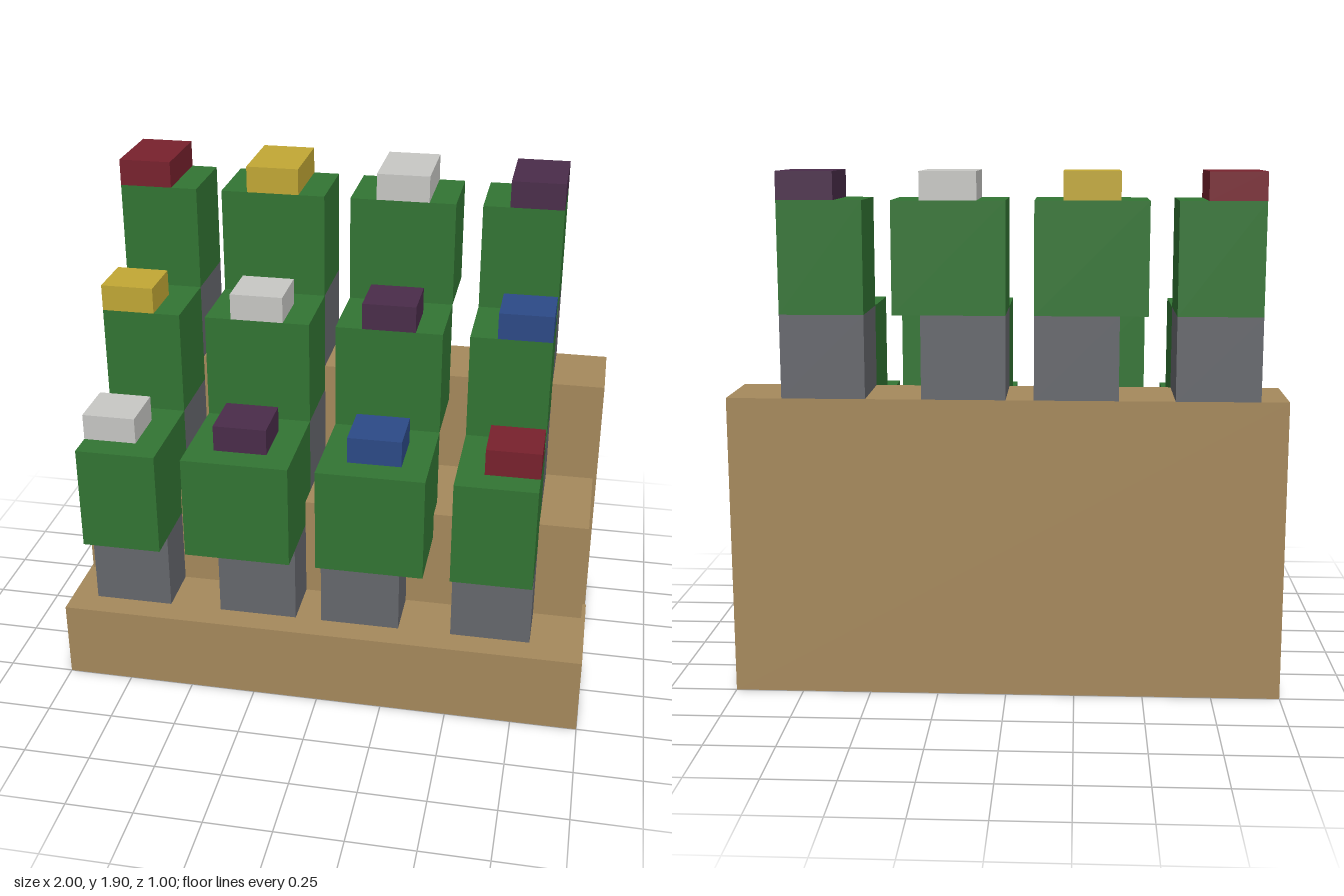
import * as THREE from 'three';

const mat = (name, color) => Object.assign(new THREE.MeshStandardMaterial({ color }), { name });
const tan = mat('tan', 0xa6895c);
const grey = mat('grey', 0x66686d);
const green = mat('green', 0x327533);
const red = mat('dark red', 0x78212d);
const yellow = mat('yellow', 0xc2a835);
const white = mat('off white', 0xc8c8c5);
const purple = mat('purple', 0x4a2c4a);
const blue = mat('blue', 0x2c4a87);

// Box given by its [min, max] extents on each axis
function block(name, material, [x0, x1], [y0, y1], [z0, z1]) {
  const mesh = new THREE.Mesh(new THREE.BoxGeometry(x1 - x0, y1 - y0, z1 - z0), material);
  mesh.position.set((x0 + x1) / 2, (y0 + y1) / 2, (z0 + z1) / 2);
  mesh.name = name;
  return mesh;
}

export function createModel() {
  const model = new THREE.Group();
  model.name = 'tieredFigures';

  // Three-step stand
  model.add(
    block('frontStep', tan, [-1, 1], [0, 0.3], [0.1, 0.5]),
    block('middleStep', tan, [-0.99, 0.985], [0, 0.7], [-0.2, 0.2]),
    block('backStep', tan, [-1, 1], [0, 1.1], [-0.5, -0.2]),
  );

  // Depth extents of the figures on each step, back to front
  const rows = [
    { name: 'back', y: 1.1, stem: [-0.5, -0.2], body: [-0.5, -0.2], cap: [-0.5, -0.2] },
    { name: 'middle', y: 0.7, stem: [-0.2, 0.1], body: [-0.2, 0.1], cap: [-0.1, 0.1] },
    { name: 'front', y: 0.3, stem: [0.2, 0.4], body: [0.1, 0.5], cap: [0.2, 0.4] },
  ];
  // Width extents of the figures in each column
  const columns = [
    { stem: [-0.9, -0.6], body: [-0.9, -0.6], cap: [-0.9, -0.7] },
    { stem: [-0.4, -0.1], body: [-0.5, -0.1], cap: [-0.4, -0.2] },
    { stem: [0, 0.3], body: [0, 0.4], cap: [0.1, 0.3] },
    { stem: [0.5, 0.8], body: [0.5, 0.8], cap: [0.6, 0.8] },
  ];
  // Cap colours shift by one column from row to row
  const capColours = [red, yellow, white, purple, blue, red];

  rows.forEach((row, r) => columns.forEach((col, c) => {
    const figure = new THREE.Group();
    figure.name = `${row.name}Figure${c + 1}`;
    const y = row.y;
    figure.add(
      block('legs', grey, col.stem, [y, y + 0.3], row.stem),
      block('body', green, col.body, [y + 0.3, y + 0.7], row.body),
      block('cap', capColours[r + c], col.cap, [y + 0.7, y + 0.8], row.cap),
    );
    model.add(figure);
  }));

  return model;
}
